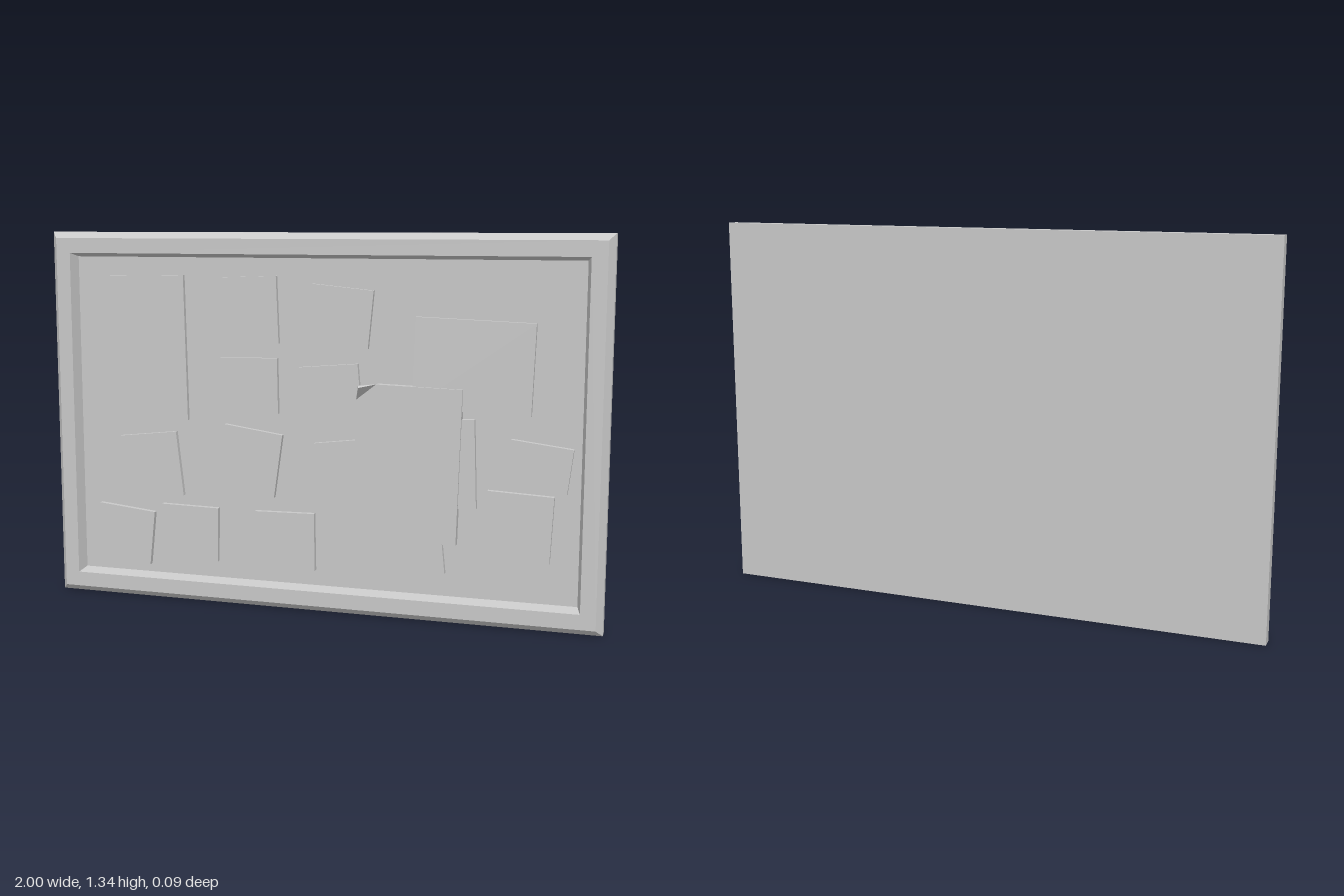
import * as THREE from 'three';
import { ConvexGeometry } from 'three/addons/geometries/ConvexGeometry.js';

const W = 2, H = 1.335, BOARD_Z = -0.018;

// Picture-frame moulding: a mitred section swept round the four sides
function frameGeometry(section) {
  const pos = [];
  const corner = ([inset, z], k) => {
    const x = W / 2 - inset, y = H / 2 - inset;
    return [[-x, -y, z], [x, -y, z], [x, y, z], [-x, y, z]][k % 4];
  };
  for (let i = 0; i < section.length - 1; i++) {
    for (let k = 0; k < 4; k++) {
      const a = corner(section[i], k), b = corner(section[i], k + 1);
      const c = corner(section[i + 1], k + 1), d = corner(section[i + 1], k);
      pos.push(...a, ...b, ...c, ...a, ...c, ...d);
    }
  }
  const g = new THREE.BufferGeometry();
  g.setAttribute('position', new THREE.Float32BufferAttribute(pos, 3));
  g.computeVertexNormals();
  return g;
}

export function createModel() {
  const grey = new THREE.MeshStandardMaterial({ color: 0xc8c8c8 });
  grey.name = 'plain grey';
  const model = new THREE.Group();
  model.name = 'noticeBoard';
  const add = (geometry, name, x = 0, y = 0, z = 0, parent = model) => {
    const mesh = new THREE.Mesh(geometry, grey);
    mesh.name = name;
    mesh.position.set(x, y, z);
    parent.add(mesh);
    return mesh;
  };

  // Frame with bevelled outer and inner edges
  add(frameGeometry([[0, -0.045], [0, 0], [0.022, 0.025], [0.075, 0.025], [0.088, BOARD_Z]]),
    'frame', 0, H / 2);

  // Recessed pin surface and flat back
  add(new THREE.PlaneGeometry(W - 0.176, H - 0.176), 'pinSurface', 0, H / 2, BOARD_Z);
  add(new THREE.PlaneGeometry(W, H), 'backPanel', 0, H / 2, -0.045).rotation.y = Math.PI;

  // Pinned notes: centre x, centre y, width, height, tilt in degrees
  const notes = [
    [-0.663, 0.921, 0.342, 0.519, 1.2],
    [-0.259, 1.064, 0.227, 0.235, 2.2],
    [0.078, 1.051, 0.226, 0.2, -5.5],
    [-0.254, 0.799, 0.217, 0.196, 1],
    [0.045, 0.802, 0.214, 0.155, 5],
    [-0.631, 0.492, 0.222, 0.235, 6.5],
    [-0.253, 0.529, 0.219, 0.229, -8],
    [0.112, 0.505, 0.22, 0.228, 7],
    [-0.743, 0.23, 0.22, 0.2, -6],
    [-0.485, 0.251, 0.219, 0.198, -1],
    [-0.121, 0.246, 0.222, 0.207, 1],
    [0.342, 0.259, 0.215, 0.2, 6],
    [0.449, 0.556, 0.22, 0.307, 2],
    [0.773, 0.563, 0.21, 0.154, -7],
    [0.709, 0.353, 0.225, 0.23, -2.7],
    [0.545, 0.893, 0.407, 0.31, -2],
  ];
  notes.forEach(([x, y, w, h, tilt], i) => {
    const depth = 0.016 + i * 0.0003; // slight stagger keeps overlaps apart
    add(new THREE.BoxGeometry(w, h, depth), `note${i + 1}`, x, y, BOARD_Z + depth / 2)
      .rotation.z = THREE.MathUtils.degToRad(tilt);
  });

  // Large sheet on top, with its upper corner cut for the fold
  const sheet = new THREE.Group();
  sheet.name = 'largeSheet';
  model.add(sheet);
  const foldLow = [0.144, 0.767], foldHigh = [0.214, 0.822];
  const outline = [[0.131, 0.286], [0.498, 0.276], [0.513, 0.814], foldHigh, foldLow]
    .map(([x, y]) => new THREE.Vector2(x, y));
  add(new THREE.ExtrudeGeometry(new THREE.Shape(outline), { depth: 0.03, bevelEnabled: false }),
    'sheetBody', 0, 0, BOARD_Z, sheet);

  // Corner curling forward off the board
  const flap = [[...foldLow, 0.012], [...foldHigh, 0.012], [0.16, 0.812, 0.044],
    [...foldLow, 0], [...foldHigh, 0], [0.156, 0.818, 0.034]];
  add(new ConvexGeometry(flap.map((p) => new THREE.Vector3(...p))), 'curledCorner', 0, 0, 0, sheet);

  return model;
}
